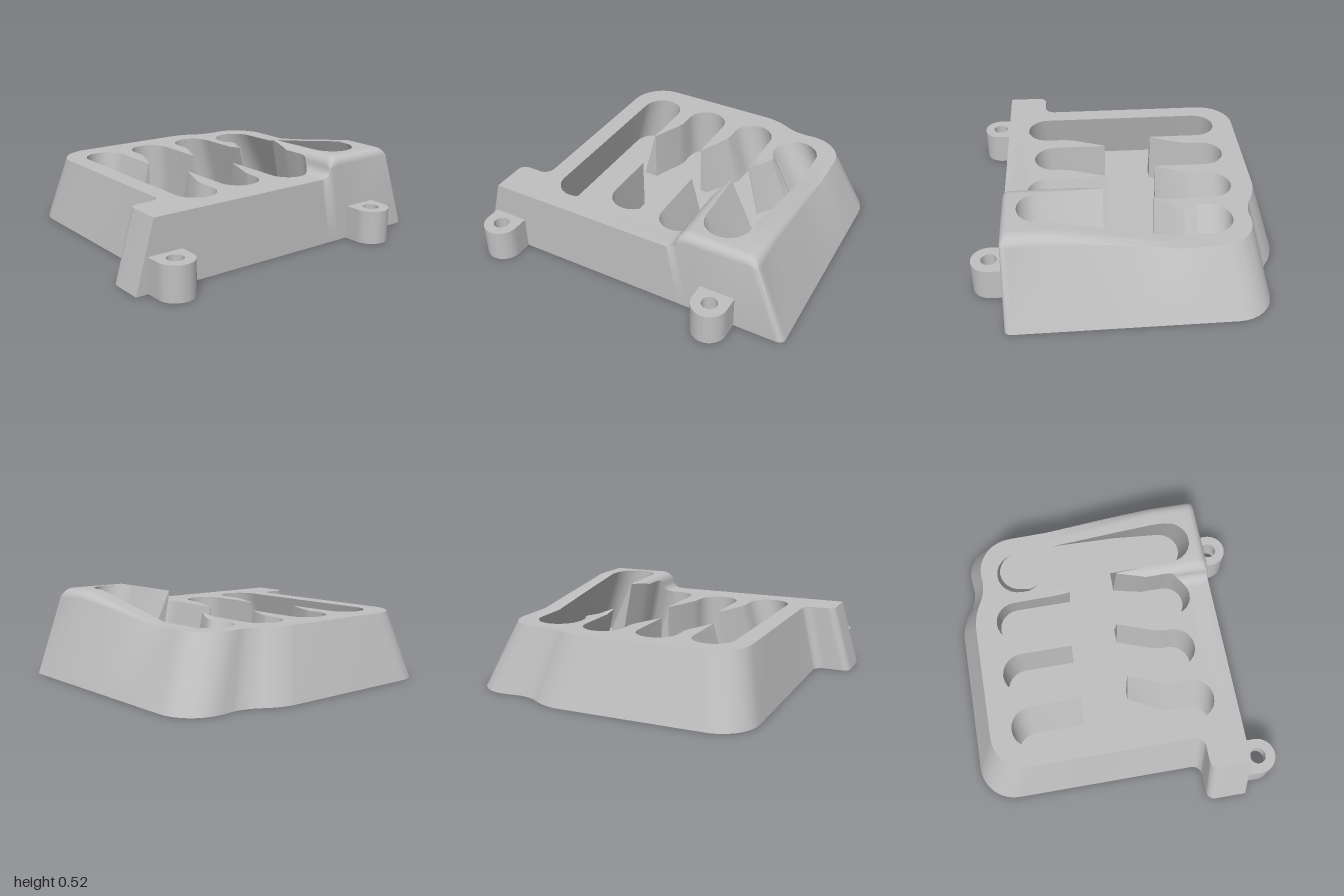
import * as THREE from 'three';
import { toCreasedNormals } from 'three/addons/utils/BufferGeometryUtils.js';

const FLOOR = 0.08;
const clamp = THREE.MathUtils.clamp;
const quarter = t => 1 - Math.sqrt(Math.max(0, 1 - t * t));

// Deck height: flat at the left, an S-shaped step up to a ramp at the right
function deckHeight(x, z) {
  const t = (x - 0.27) / 0.065;
  const step = t <= 0 ? 0 : t < 1 ? 0.5 * quarter(t) : t < 2 ? 1 - 0.5 * quarter(2 - t) : 1;
  const onRib = x < 0.43 && z > 0.05;
  const lift = onRib ? 0.12 : 0.12 * clamp((z + 0.26) / 0.68, 0, 1);
  const sideRound = 1 - 0.55 * quarter(clamp((x - 0.745) / 0.08, 0, 1));
  const frontRound = 1 - 0.42 * quarter(clamp((z - 0.655) / 0.05, 0, 1));
  return 0.4 + step * lift * sideRound * frontRound;
}

// Closed outline with rounded corners from [x, z, radius]
function rounded(corners) {
  const out = [];
  corners.forEach(([x, z, r], i) => {
    if (!r) return out.push([x, z]);
    const v = new THREE.Vector2(x, z);
    const n = corners.length;
    const toward = c => new THREE.Vector2(c[0], c[1]).sub(v).setLength(r).add(v);
    const a = toward(corners[(i + n - 1) % n]);
    const b = toward(corners[(i + 1) % n]);
    const curve = new THREE.CubicBezierCurve(a, a.clone().lerp(v, 0.55), b.clone().lerp(v, 0.55), b);
    curve.getPoints(9).forEach(p => out.push([p.x, p.y]));
  });
  return out;
}

// Half-circle slot end; points are [topX, topZ, bottomX, bottomZ]
function slotEnd(cx, cz, r, start, shift) {
  return Array.from({ length: 13 }, (_, i) => {
    const a = start + Math.PI * i / 12;
    return pt(cx + r * Math.cos(a), cz + r * Math.sin(a), shift);
  });
}
function pt(x, z, shift) { return [x, z, x + shift, z]; }

const mix = (p, q, f) => p.map((c, i) => c + (q[i] - c) * f);
const dist = (p, k, v) => Math.abs(p[k] - v) < 1e-6 ? 0 : p[k] - v;

// Add loop points where the loop crosses a grid line
function cutLoop(loop, k, v) {
  return loop.flatMap((p, i) => {
    const q = loop[(i + 1) % loop.length];
    const a = dist(p, k, v), b = dist(q, k, v);
    return a * b < 0 ? [p, mix(p, q, a / (a - b))] : [p];
  });
}

// Split flat triangles along a grid line
function cutTriangles(tris, k, v) {
  const out = [];
  for (const tri of tris) {
    for (const side of [-1, 1]) {
      const poly = [];
      tri.forEach((p, i) => {
        const q = tri[(i + 1) % 3];
        const a = dist(p, k, v) * side, b = dist(q, k, v) * side;
        if (a >= 0) poly.push(p);
        if (a * b < 0) poly.push(mix(p, q, a / (a - b)));
      });
      for (let i = 1; i + 1 < poly.length; i++) out.push([poly[0], poly[i], poly[i + 1]]);
    }
  }
  return out.filter(t => Math.abs(area(t)) > 1e-9);
}
const area = ([a, b, c]) => (b[0] - a[0]) * (c[1] - a[1]) - (b[1] - a[1]) * (c[0] - a[0]);

function fill(contour, holes = []) {
  const vec = l => l.map(p => new THREE.Vector2(p[0], p[1]));
  const all = [contour, ...holes].flat();
  return THREE.ShapeUtils.triangulateShape(vec(contour), holes.map(vec)).map(f => f.map(i => all[i].slice(0, 2)));
}

function surface(triangles) {
  const geo = new THREE.BufferGeometry();
  geo.setAttribute('position', new THREE.Float32BufferAttribute(triangles.flat(2), 3));
  return toCreasedNormals(geo, 0.55);
}

// Lay flat triangles at a height, facing up or down
function lay(tris, height, up) {
  return tris.map(t => {
    const tri = t.map(([x, z]) => [x, height(x, z), z]);
    return (area(t) < 0) === up ? tri : tri.reverse();
  });
}

// Wall between the deck edge and the loop's lower edge
function wall(loop, bottomY, outward) {
  return loop.flatMap((p, i) => {
    const q = loop[(i + 1) % loop.length];
    const a = [p[0], deckHeight(p[0], p[1]), p[1]], b = [q[0], deckHeight(q[0], q[1]), q[1]];
    const c = [q[2], bottomY, q[3]], d = [p[2], bottomY, p[3]];
    return outward ? [[a, b, c], [a, c, d]] : [[a, c, b], [a, d, c]];
  });
}

export function createModel() {
  const model = new THREE.Group();
  const grey = new THREE.MeshStandardMaterial({ color: 0xc0c0c0 });
  grey.name = 'grey';
  const add = (name, geo, parent = model) => {
    const mesh = new THREE.Mesh(geo, grey);
    mesh.name = name;
    parent.add(mesh);
    return mesh;
  };

  // Tapered outer outline: deck edge joined to base edge
  const topEdge = rounded([[-0.885, 0.705, 0], [-0.885, 0.465, 0.05], [-0.69, 0.465, 0.06], [-0.69, -0.78, 0.21],
    [0.31, -0.78, 0.09], [0.46, -0.695, 0.08], [0.8, -0.725, 0.23], [0.825, 0.705, 0.03]]);
  const baseEdge = rounded([[-1, 0.705, 0], [-1, 0.465, 0.05], [-0.78, 0.465, 0.06], [-0.78, -0.905, 0.22],
    [0.43, -0.905, 0.1], [0.58, -0.79, 0.09], [0.98, -0.835, 0.24], [1, 0.705, 0.04]]);
  let outer = topEdge.map((p, i) => [...p, ...baseEdge[i]]);

  // Pocket outline: four slots joined in the middle, leaning apart towards the floor
  const PI = Math.PI;
  let pocket = [
    ...slotEnd(-0.455, -0.525, 0.125, PI, -0.085), pt(-0.33, -0.215, -0.083),
    pt(-0.325, -0.215, 0), pt(-0.25, -0.4, 0), pt(-0.24, -0.44, 0),
    ...slotEnd(-0.115, -0.53, 0.125, PI, 0), pt(0.01, -0.215, 0),
    pt(0.015, -0.215, 0.045), pt(0.095, -0.4, 0.08), pt(0.105, -0.44, 0.085),
    ...slotEnd(0.23, -0.525, 0.125, PI, 0.085), pt(0.36, -0.17, 0.08),
    pt(0.37, -0.17, 0.08), pt(0.45, -0.33, 0.1), pt(0.45, -0.36, 0.12), pt(0.42, -0.42, 0.16),
    ...slotEnd(0.555, -0.47, 0.135, PI, 0.17), pt(0.7, -0.2, 0.17), pt(0.69, 0.2, 0.17),
    ...slotEnd(0.545, 0.485, 0.135, 0, 0.155), pt(0.392, 0.13, 0.208),
    pt(0.387, 0.13, 0.085), pt(0.36, 0.24, 0.085), pt(0.345, 0.31, 0.085),
    ...slotEnd(0.225, 0.45, 0.12, 0, 0.085), pt(0.105, 0.085, 0.085),
    pt(0.1, 0.085, 0), pt(0.02, 0.31, 0), pt(0.01, 0.36, 0),
    ...slotEnd(-0.115, 0.405, 0.125, 0, 0), pt(-0.24, 0.085, 0),
    pt(-0.245, 0.085, -0.05), pt(-0.32, 0.29, -0.08), pt(-0.33, 0.35, -0.085),
    ...slotEnd(-0.455, 0.45, 0.125, 0, -0.085),
  ];

  // Grid lines that carry the step, the ramp and the rounded edges
  const cuts = [[1, -0.26], [1, 0.42], [1, 0.655]];
  for (let i = 0; i <= 6; i++) {
    const s = Math.sin(i * PI / 12);
    cuts.push([0, 0.27 + 0.065 * s], [0, 0.4 - 0.065 * s]);
    if (i < 6) cuts.push([0, 0.745 + 0.08 * s], [1, 0.655 + 0.05 * s]);
  }
  for (const [k, v] of cuts) {
    outer = cutLoop(outer, k, v);
    pocket = cutLoop(pocket, k, v);
  }
  let deck = fill(outer, [pocket]);
  for (const [k, v] of cuts) deck = cutTriangles(deck, k, v);

  const lower = loop => loop.map(p => p.slice(2));
  const body = new THREE.Group();
  body.name = 'body';
  model.add(body);
  add('deckAndOuterWall', surface([...lay(deck, deckHeight, true), ...wall(outer, 0, true)]), body);
  add('pocketWall', surface(wall(pocket, FLOOR, false)), body);
  add('pocketFloor', surface(lay(fill(lower(pocket)), () => FLOOR, true)), body);
  add('base', surface(lay(fill(lower(outer)), () => 0, false)), body);

  // Mounting lugs: a narrow hole above a wider bore
  const lugPart = (hole, y0, y1) => {
    const shape = new THREE.Shape();
    shape.moveTo(-0.106, 0.7);
    shape.lineTo(0.106, 0.7);
    shape.lineTo(0.106, 0.795);
    shape.absarc(0, 0.795, 0.106, 0, PI, false);
    shape.closePath();
    shape.holes.push(new THREE.Path().absarc(0, 0.795, hole, 0, PI * 2, true));
    const geo = new THREE.ExtrudeGeometry(shape, { depth: y1 - y0, bevelEnabled: false, curveSegments: 20 });
    return toCreasedNormals(geo.rotateX(PI / 2).translate(0, y1, 0), 0.55);
  };
  for (const [name, x] of [['rightLug', -0.82], ['leftLug', 0.595]]) {
    const lug = new THREE.Group();
    lug.name = name;
    lug.position.x = x;
    add('lugTop', lugPart(0.047, 0.13, 0.2), lug);
    add('lugSleeve', lugPart(0.083, 0, 0.13), lug);
    model.add(lug);
  }
  return model;
}
